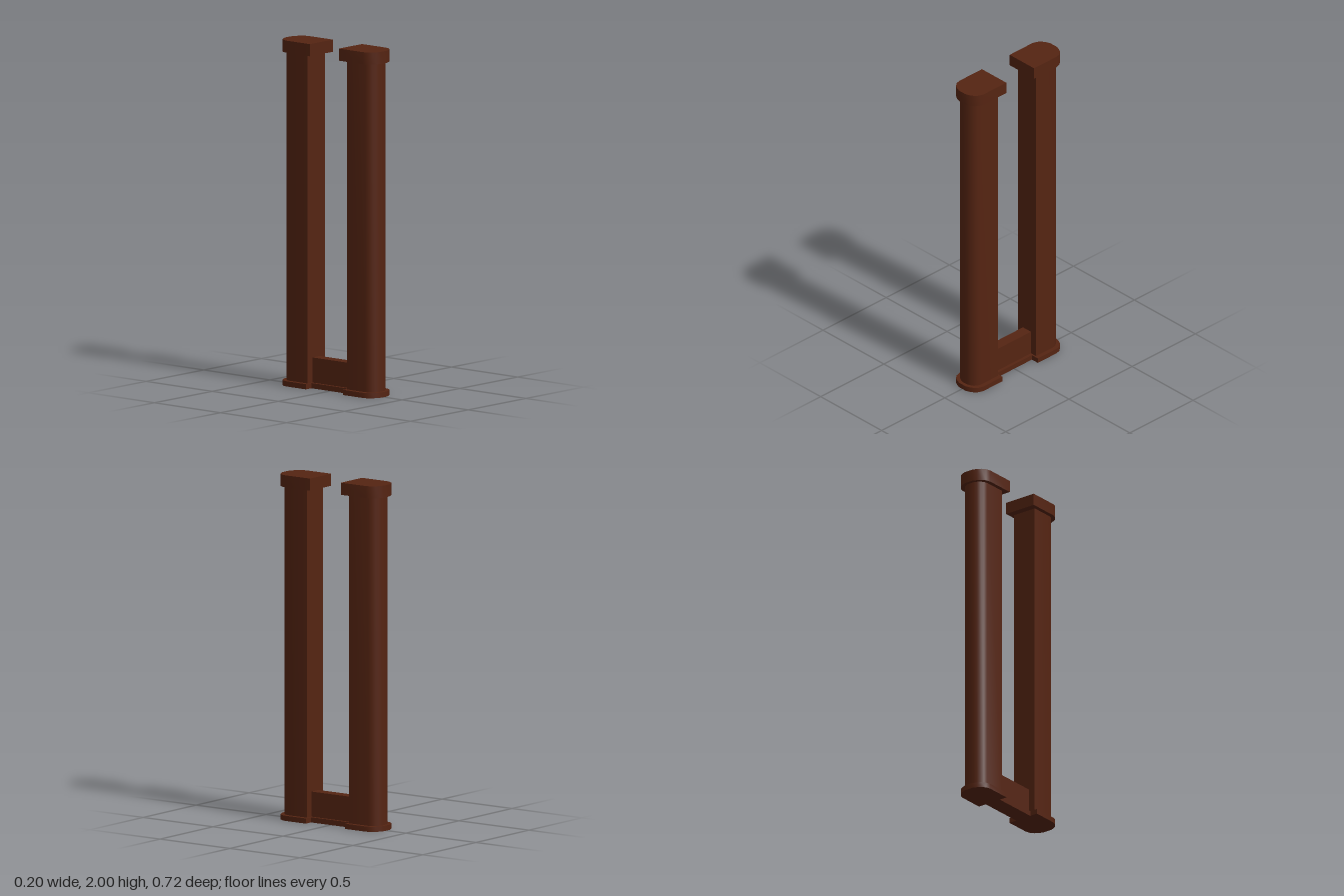
import * as THREE from 'three';
import { toCreasedNormals } from 'three/addons/utils/BufferGeometryUtils.js';

const wood = new THREE.MeshStandardMaterial({ color: 0x552412 });

// Rounded outer end as fractions: x of half width, y of arc depth
const ARC = [[1, 0], [0.92, 0.38], [0.75, 0.68], [0.52, 0.87], [0.27, 1]];

// Vertical prism: flat inner face, faceted arc on the outer face (towards -z)
function roundedBlock(name, halfWidth, inner, outer, arcDepth, y0, y1) {
  const side = ARC.map(([x, d]) => new THREE.Vector2(x * halfWidth, outer - arcDepth * (1 - d)));
  const mirrored = side.map((p) => new THREE.Vector2(-p.x, p.y)).reverse();
  const shape = new THREE.Shape([
    new THREE.Vector2(-halfWidth, inner),
    new THREE.Vector2(halfWidth, inner),
    ...side,
    ...mirrored,
  ]);
  const geometry = new THREE.ExtrudeGeometry(shape, { depth: y1 - y0, bevelEnabled: false });
  geometry.rotateX(-Math.PI / 2).translate(0, y0, 0);
  const mesh = new THREE.Mesh(toCreasedNormals(geometry, Math.PI / 5), wood);
  mesh.name = name;
  return mesh;
}

function box(name, width, height, depth, y) {
  const mesh = new THREE.Mesh(new THREE.BoxGeometry(width, height, depth), wood);
  mesh.position.y = y + height / 2;
  mesh.name = name;
  return mesh;
}

// One post: foot pad, shaft and overhanging cap
function post(name) {
  const group = new THREE.Group();
  group.name = name;
  group.add(
    roundedBlock('foot', 0.1, 0.14, 0.362, 0.072, 0, 0.03),
    roundedBlock('shaft', 0.075, 0.15, 0.342, 0.055, 0.03, 1.93),
    roundedBlock('cap', 0.1, 0.11, 0.362, 0.072, 1.93, 2),
  );
  return group;
}

export function createModel() {
  const model = new THREE.Group();
  model.name = 'twinPosts';

  const front = post('frontPost');
  front.rotation.y = Math.PI;
  model.add(front, post('backPost'));

  // Low wall on a wider sill joining the two posts
  model.add(
    box('sill', 0.102, 0.03, 0.28, 0),
    box('wall', 0.066, 0.145, 0.3, 0.03),
  );
  return model;
}
